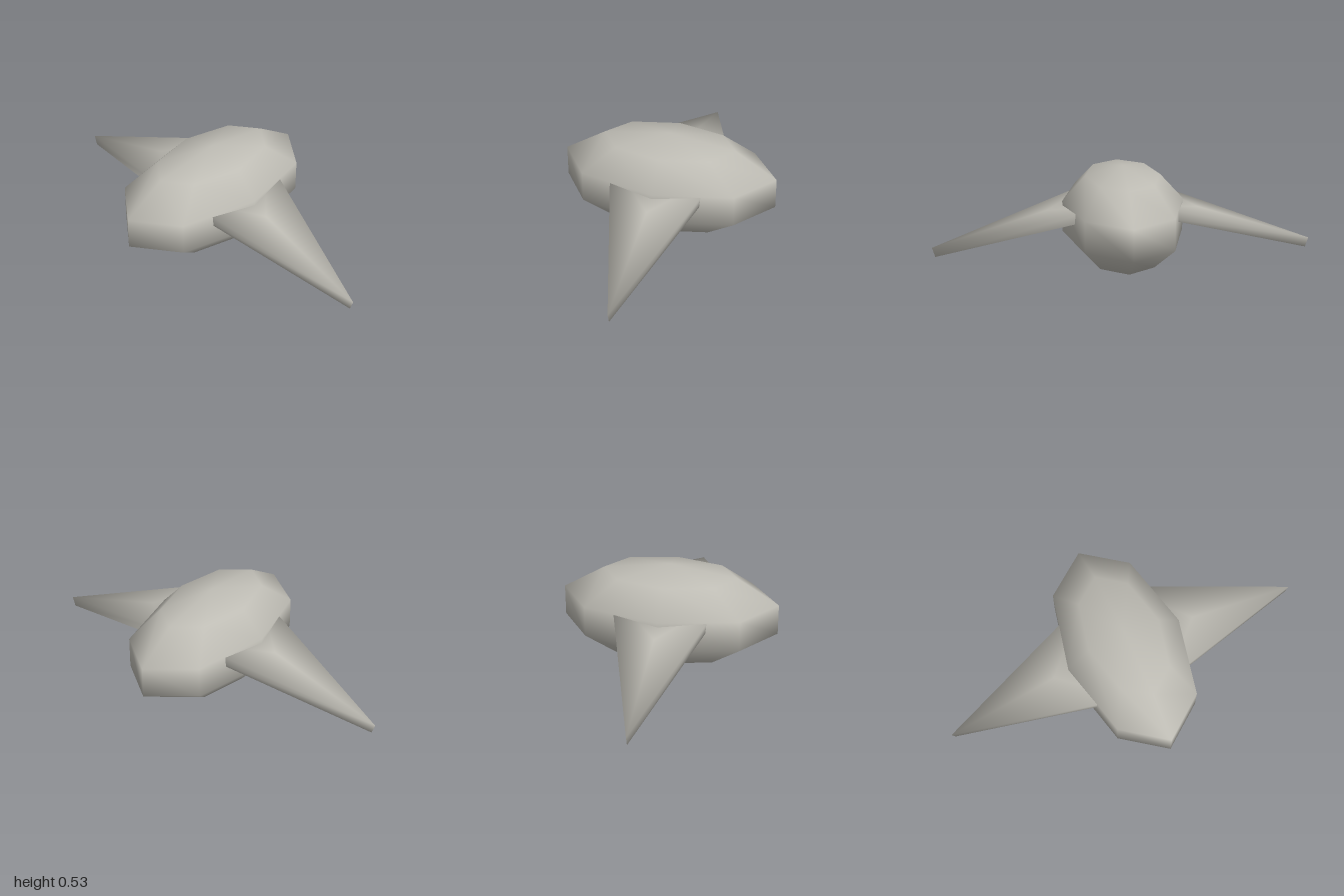
import * as THREE from 'three';
import { mergeVertices } from 'three/addons/utils/BufferGeometryUtils.js';

// Thin three-sided slab pointing along +x, shaded softly across its edges
function wingGeometry(length, halfWidth, thickness) {
  let geo = new THREE.CylinderGeometry(1, 1, 1.4, 3);
  geo.rotateY(Math.PI / 2);
  geo.deleteAttribute('normal');
  geo.deleteAttribute('uv');
  geo = mergeVertices(geo, 1e-4);
  geo.computeVertexNormals();
  const softNormals = geo.attributes.normal.clone();
  geo.scale(length / 1.5, thickness / 1.4, halfWidth / 0.866);
  geo.setAttribute('normal', softNormals);
  geo.translate(-length / 1.5, 0, 0); // tip at the origin
  return geo;
}

export function createModel() {
  const model = new THREE.Group();
  model.name = 'wingedBody';
  const grey = new THREE.MeshStandardMaterial({ color: 0xbfbdb5 });
  grey.name = 'warm grey';

  // Faceted, elongated body with smooth shading
  const bodyGeo = new THREE.SphereGeometry(1, 8, 5);
  bodyGeo.scale(0.333, 0.266, 0.6);
  const body = new THREE.Mesh(bodyGeo, grey);
  body.name = 'body';
  body.position.y = 0.27;
  model.add(body);

  // Drooping wings, one turned half way round for the other side
  const wingGeo = wingGeometry(0.943, 0.292, 0.053);
  for (const [name, turn] of [['leftWing', 0], ['rightWing', Math.PI]]) {
    const side = new THREE.Group();
    side.name = name;
    side.rotation.y = turn;
    const wing = new THREE.Mesh(wingGeo, grey);
    wing.name = name + 'Panel';
    wing.position.set(0.992, 0.09, 0);
    wing.rotation.z = -0.303;
    side.add(wing);
    model.add(side);
  }
  return model;
}
